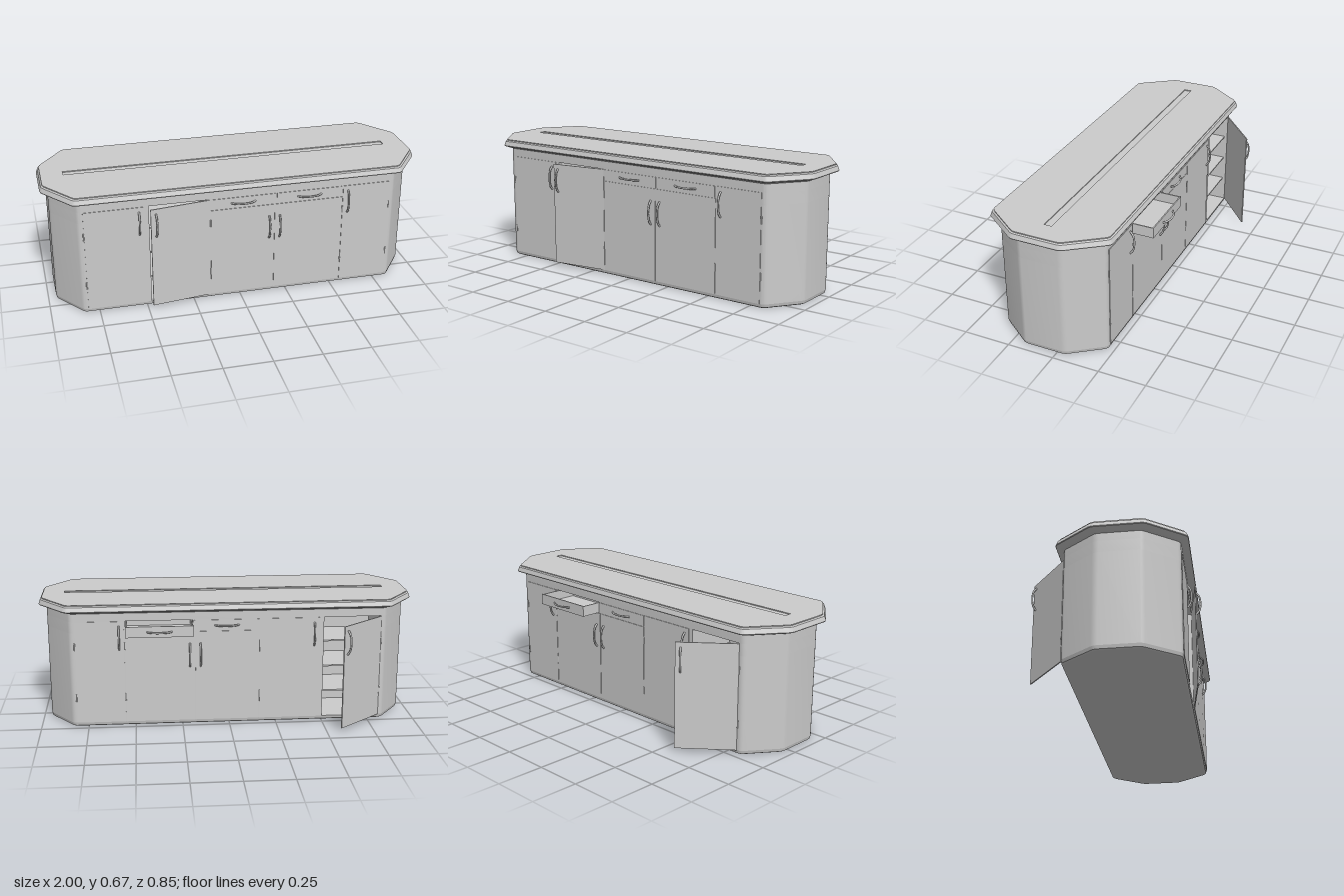
import * as THREE from 'three';
import { toCreasedNormals } from 'three/addons/utils/BufferGeometryUtils.js';

const CZ = 0.067, HALF = 0.2885; // body centre and half depth in z
const mat = new THREE.MeshStandardMaterial({ color: 0xcccccc, side: THREE.DoubleSide });

function add(parent, name, geo, x = 0, y = 0, z = 0) {
  const m = new THREE.Mesh(geo, mat);
  m.name = name;
  m.position.set(x, y, z);
  parent.add(m);
  return m;
}
const box = (w, h, d) => new THREE.BoxGeometry(w, h, d);

// softened corner points of one end of the plan, from front to back, grown by o
function endPoints(o) {
  const V = (x, z) => new THREE.Vector2(x, z);
  const cx = 0.83 + 0.6 * o, X = 0.96 + o, h = HALF + o, e = 0.112 + 0.5 * o;
  const c = [V(0, h), V(cx, h), V(X, e), V(X, -e), V(cx, -h), V(0, -h)];
  const out = [];
  for (let i = 1; i < 5; i++) {
    const toward = (p) => p.clone().sub(c[i]).setLength(0.018).add(c[i]);
    const curve = new THREE.QuadraticBezierCurve(toward(c[i - 1]), c[i], toward(c[i + 1]));
    curve.getPoints(4).forEach((p) => out.push([p.x, p.y + CZ]));
  }
  return out;
}

// full plan; notches are [x0, x1, depthZ] cut into the front or back edge
function plan(o, front = [], back = []) {
  const right = endPoints(o);
  const left = right.map(([x, z]) => [-x, z]).reverse();
  const pts = [...right];
  for (const [a, b, z] of back) pts.push([b, CZ - HALF - o], [b, z], [a, z], [a, CZ - HALF - o]);
  pts.push(...left);
  for (const [a, b, z] of front) pts.push([a, CZ + HALF + o], [a, z], [b, z], [b, CZ + HALF + o]);
  return pts;
}

// horizontal slab between two heights
function slab(pts, y0, y1, hole) {
  const toV = ([x, z]) => new THREE.Vector2(x, -z);
  const s = new THREE.Shape(pts.map(toV));
  if (hole) s.holes.push(new THREE.Path(hole.map(toV)));
  const g = new THREE.ExtrudeGeometry(s, { depth: y1 - y0, bevelEnabled: false });
  g.rotateX(-Math.PI / 2).translate(0, y0, 0);
  return toCreasedNormals(g, 0.4);
}

// closed skin through plan rings [offset, y]
function loft(rings) {
  const pos = [], idx = [];
  const loops = rings.map(([o, y]) => plan(o).map(([x, z]) => [x, y, z]));
  const n = loops[0].length, last = rings.length - 1;
  loops.forEach((l) => l.forEach((p) => pos.push(...p)));
  for (let r = 0; r < last; r++) {
    for (let i = 0; i < n; i++) {
      const a = r * n + i, b = r * n + (i + 1) % n;
      idx.push(a, b, a + n, b, b + n, a + n);
    }
  }
  pos.push(0, rings[0][1], CZ, 0, rings[last][1], CZ);
  for (let i = 0; i < n; i++) {
    const j = (i + 1) % n;
    idx.push(last * n + i, last * n + j, (last + 1) * n + 1, j, i, (last + 1) * n);
  }
  const g = new THREE.BufferGeometry();
  g.setAttribute('position', new THREE.Float32BufferAttribute(pos, 3));
  g.setIndex(idx);
  return toCreasedNormals(g, 0.4);
}

// bowed pull handle, upright, bulging toward +z
function handle(parent, x, y, z, flat = false) {
  const pts = [[-0.064, 0], [-0.042, 0.016], [0, 0.023], [0.042, 0.016], [0.064, 0]]
    .map(([a, b]) => new THREE.Vector3(0, a, b));
  const g = new THREE.TubeGeometry(new THREE.CatmullRomCurve3(pts), 16, 0.005, 8);
  if (flat) g.rotateZ(Math.PI / 2);
  add(parent, 'handle', g, x, y, z);
}

// door panel hung on its hinge edge
function door(parent, hinge, free, y0, y1, handleY, open = 0) {
  const w = free - hinge, dir = Math.sign(w);
  const d = new THREE.Group();
  d.name = 'door';
  d.position.x = hinge;
  d.rotation.y = -dir * open;
  add(d, 'doorPanel', box(Math.abs(w) - 0.003, y1 - y0, 0.006), w / 2, (y0 + y1) / 2, 0);
  handle(d, w - dir * 0.028, handleY, 0.003);
  for (const y of [0.16, 0.44]) add(d, 'hinge', new THREE.CylinderGeometry(0.004, 0.004, 0.04, 8), 0, y, 0.001);
  parent.add(d);
}

// drawer front with an open tray behind it
function drawer(parent, x0, x1, out = 0) {
  const d = new THREE.Group(), w = Math.abs(x1 - x0) - 0.004, t = 0.006, depth = 0.22;
  d.name = 'drawer';
  d.position.set((x0 + x1) / 2, 0.544, out);
  add(d, 'drawerFront', box(w, 0.058, t));
  handle(d, 0, 0, 0.003, true);
  if (out) {
    const tw = w - 0.004;
    add(d, 'drawerBottom', box(tw, t, depth), 0, -0.026, -depth / 2);
    for (const s of [-1, 1]) add(d, 'drawerSide', box(t, 0.054, depth), s * (tw - t) / 2, 0, -depth / 2);
    add(d, 'drawerBack', box(tw, 0.054, t), 0, 0, -depth);
  }
  parent.add(d);
}

// fittings of one long face; s = 1 front, -1 back
function face(name, s, outerOpen, innerOpen, drawerOut) {
  const f = new THREE.Group();
  f.name = name;
  f.position.z = CZ + s * HALF;
  if (s < 0) f.rotation.y = Math.PI;
  const tall = [0.022, 0.574, 0.485], low = [0.022, 0.512, 0.385];
  door(f, -0.81 * s, -0.5 * s, ...tall, outerOpen);
  door(f, -0.16 * s, -0.48 * s, ...tall, innerOpen);
  door(f, -0.16 * s, 0.18 * s, ...low);
  door(f, 0.55 * s, 0.18 * s, ...low);
  door(f, 0.81 * s, 0.55 * s, ...tall);
  drawer(f, -0.16 * s, 0.185 * s);
  drawer(f, 0.19 * s, 0.545 * s, drawerOut);
  return f;
}

export function createModel() {
  const model = new THREE.Group();
  model.name = 'kitchenIsland';

  // cabinet body in layers, with cupboard and drawer openings
  const frontHole = [-0.477, -0.165, 0.08], backHole = [-0.805, -0.503, 0.06];
  const drawerHole = [0.191, 0.544, 0.0];
  add(model, 'base', loft([[-0.012, 0], [-0.004, 0.005], [0, 0.022]]));
  add(model, 'cabinetBody', slab(plan(0, [frontHole], [backHole]), 0.022, 0.514));
  add(model, 'drawerLevel', slab(plan(0, [frontHole], [drawerHole, backHole]), 0.514, 0.575));
  add(model, 'upperRail', slab(plan(0), 0.575, 0.625));

  // shelves in both open cupboards
  for (const y of [0.16, 0.3, 0.44]) {
    add(model, 'shelf', box(0.302, 0.008, 0.26), -0.654, y, -0.075);
    add(model, 'shelf', box(0.312, 0.008, 0.25), -0.321, y, 0.21);
  }

  // worktop with a long shallow groove
  add(model, 'worktop', loft([[0, 0.618], [0.038, 0.633], [0.04, 0.637], [0.032, 0.66], [0.025, 0.665]]));
  const groove = [[-0.87, 0.045], [0.87, 0.045], [0.87, 0.085], [-0.87, 0.085]];
  add(model, 'worktopSurface', slab(plan(0.025), 0.665, 0.67, groove));

  model.add(face('frontFittings', 1, 0, 0.135, 0));
  model.add(face('backFittings', -1, 0.7, 0, 0.109));
  return model;
}
